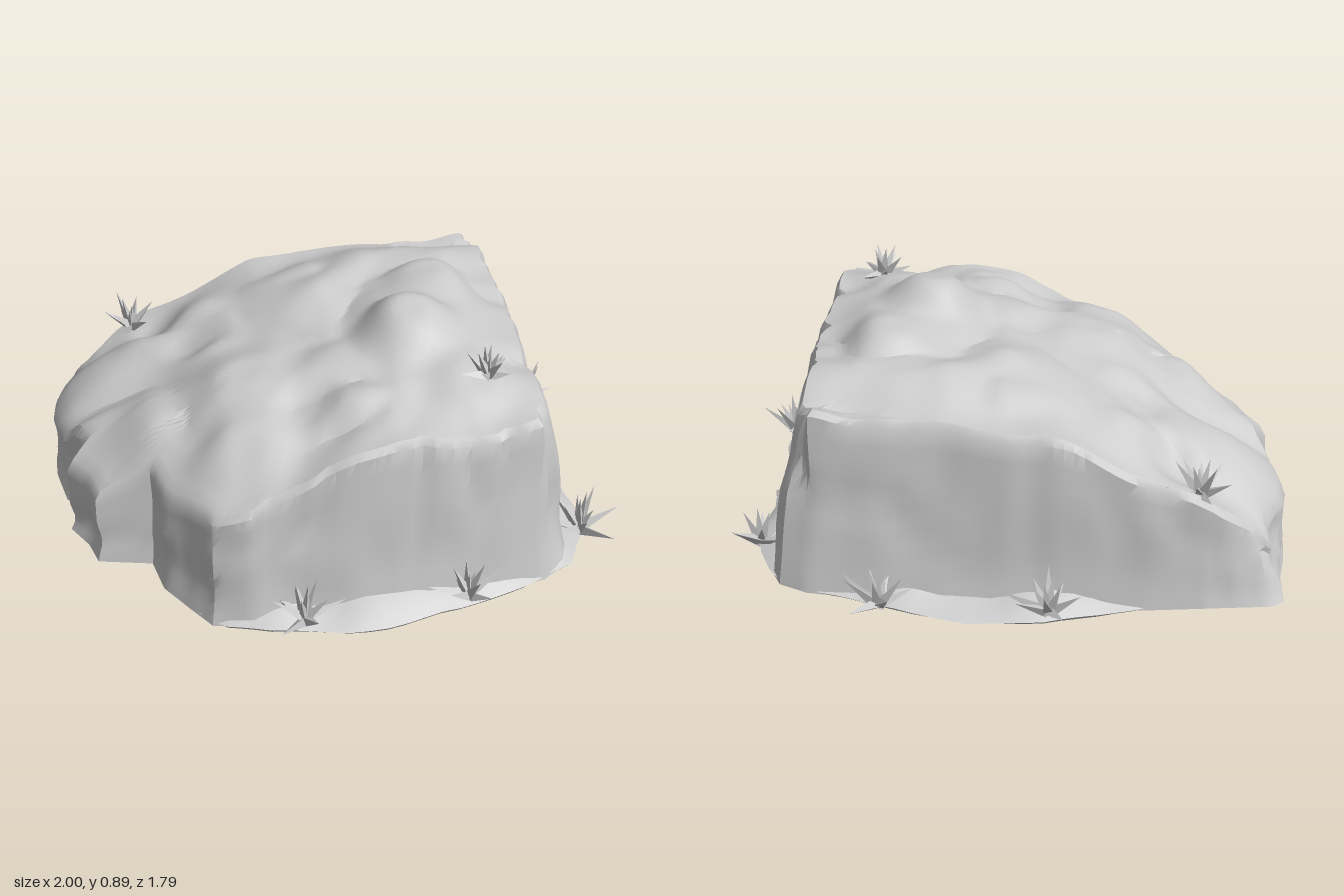
import * as THREE from 'three';
import { toCreasedNormals } from 'three/addons/utils/BufferGeometryUtils.js';

const stone = new THREE.MeshStandardMaterial({ color: 0xcccccc });
stone.name = 'paleStone';

const { lerp, smoothstep, clamp } = THREE.MathUtils;

// Smooth seeded value noise, -1..1
const hash = (i, j) => {
  const s = Math.sin(i * 127.1 + j * 311.7) * 43758.5453;
  return (s - Math.floor(s)) * 2 - 1;
};
function noise(x, z) {
  const i = Math.floor(x), j = Math.floor(z);
  const u = smoothstep(x - i, 0, 1), v = smoothstep(z - j, 0, 1);
  return lerp(lerp(hash(i, j), hash(i + 1, j), u), lerp(hash(i, j + 1), hash(i + 1, j + 1), u), v);
}

// Piecewise linear lookup in [[x, y], ...]
function curve(points, x) {
  for (let k = 1; k < points.length; k++) {
    const [x0, y0] = points[k - 1], [x1, y1] = points[k];
    if (x <= x1) return lerp(y0, y1, clamp((x - x0) / (x1 - x0), 0, 1));
  }
  return points[points.length - 1][1];
}

// Height of the crest, front edge and back edge along x
const crest = [[-1, 0.28], [-0.9, 0.36], [-0.8, 0.42], [-0.6, 0.52], [-0.4, 0.64], [-0.2, 0.7], [0, 0.745], [0.2, 0.78], [0.5, 0.78], [0.66, 0.745], [0.78, 0.71]];
const frontEdge = [[-1, 0.24], [-0.88, 0.28], [-0.65, 0.4], [-0.5, 0.46], [-0.38, 0.51], [-0.2, 0.58], [0, 0.65], [0.15, 0.69], [0.66, 0.7]];
const backEdge = [[-1, 0.16], [-0.9, 0.26], [-0.66, 0.43], [-0.4, 0.56], [-0.2, 0.64], [0, 0.69], [0.2, 0.71], [0.7, 0.71]];
// Boulder swellings and hollows on top: x, z, radius, height
const swellings = [
  [0.28, 0.14, 0.16, 0.1], [0.4, -0.2, 0.17, 0.05], [-0.05, -0.35, 0.22, 0.02], [-0.3, 0.15, 0.16, 0.03],
  [-0.35, 0.5, 0.16, 0.04], [-0.62, 0.12, 0.14, 0.03], [-0.75, -0.35, 0.18, 0.03], [0.45, 0.43, 0.14, 0.04],
  [-0.45, -0.22, 0.11, -0.05], [-0.58, -0.48, 0.1, -0.03], [-0.12, 0.38, 0.1, -0.03], [0.1, 0.5, 0.12, 0.03],
];
function topHeight(x, z) {
  const west = smoothstep(-x, 0.4, 0.95);
  let y = lerp(curve(crest, x), curve(frontEdge, x), smoothstep(z, 0.3 - 0.35 * west, 0.7 - 0.35 * west));
  y = lerp(y, curve(backEdge, x), smoothstep(-z, 0.33, 0.64));
  for (const [sx, sz, r, h] of swellings) {
    const d = Math.hypot(x - sx, z - sz) / r;
    if (d < 1.4) y += h * (1 - smoothstep(d, 0.3, 1.4));
  }
  // rounded lumps with creased valleys between them
  return y + 0.05 * Math.abs(noise(x * 4.5 + 3, z * 4.5 + 7)) - 0.02 + 0.008 * noise(x * 8, z * 8);
}
const soleHeight = (x) => 0.015 + Math.max(0, x - 0.1) * 0.06;

// Splits a closed outline into short steps
function subdivide(outline, step) {
  const out = [];
  outline.forEach(([x, z], k) => {
    const [x1, z1] = outline[(k + 1) % outline.length];
    const n = Math.max(1, Math.round(Math.hypot(x1 - x, z1 - z) / step));
    for (let i = 0; i < n; i++) out.push([lerp(x, x1, i / n), lerp(z, z1, i / n)]);
  });
  return out;
}

// Skins a stack of closed rings running from the underside to the top
function loft(rings, crease) {
  const n = rings[0].length, index = [];
  for (let r = 0; r < rings.length - 1; r++) {
    for (let i = 0; i < n; i++) {
      const a = r * n + i, b = r * n + (i + 1) % n;
      index.push(a, a + n, b, b, a + n, b + n);
    }
  }
  const g = new THREE.BufferGeometry();
  g.setAttribute('position', new THREE.Float32BufferAttribute(rings.flat(2), 3));
  g.setIndex(index);
  return toCreasedNormals(g, crease);
}

function addMesh(parent, name, geometry) {
  const m = new THREE.Mesh(geometry, stone);
  m.name = name;
  parent.add(m);
  return m;
}

// Main rock: flat sole, steep grooved walls, bumpy sloping top
function rockGeometry() {
  const foot = subdivide([
    [-0.97, -0.6], [-0.93, -0.635], [-0.5, -0.68], [0, -0.69], [0.4, -0.69], [0.66, -0.68], [0.76, -0.64], [0.79, -0.58],
    [0.78, -0.3], [0.8, -0.05], [0.77, 0], [0.8, 0.05], [0.78, 0.3], [0.79, 0.54], [0.765, 0.61], [0.68, 0.67], [0.5, 0.7],
    [0.2, 0.72], [0, 0.72], [-0.2, 0.71], [-0.35, 0.73], [-0.49, 0.7], [-0.56, 0.6], [-0.64, 0.48], [-0.67, 0.34],
    [-0.86, 0.3], [-0.89, 0.2], [-0.95, 0.1], [-0.87, 0.05], [-0.96, -0.08], [-1, -0.28], [-0.97, -0.45],
  ], 0.035);
  // walls lean in towards the east rim and the back corner, and are cut by upright clefts
  const wallPoint = ([x, z], i, t) => {
    const cleft = 1 - Math.min(1, Math.abs(noise(i * 0.2, t * 0.8)) * 4);
    const s = 1 + 0.008 - Math.min(1, t * 4) * (0.018 * cleft + 0.012 * (1 + noise(i * 0.3 + 40, t * 3)));
    const east = 0.1 * smoothstep(x, 0.62, 0.77) * Math.pow(t, 1.7);
    const corner = 0.05 * t * smoothstep(-x, 0.7, 0.95) * smoothstep(-z, 0.35, 0.6);
    const lean = lerp(0.005, 0.04, smoothstep(x, -0.3, 0.6)) * t * smoothstep(Math.abs(z), 0.5, 0.65);
    return [Math.max(-1, x * s - east) + corner, z * s - Math.sign(z) * lean + corner * 0.7];
  };
  const rings = [0.002, 0.5].map((s) => foot.map(([x, z]) => [x * s, soleHeight(x * s), z * s]));
  for (let k = 0; k <= 9; k++) {
    const t = k / 9;
    rings.push(foot.map((p, i) => {
      const [x, z] = wallPoint(p, i, t);
      return [x, lerp(soleHeight(x), topHeight(x, z) - 0.025, t), z];
    }));
  }
  for (let k = 0; k <= 24; k++) {
    const s = lerp(0.975, 0.002, k / 24);
    rings.push(foot.map((p, i) => {
      const [x, z] = wallPoint(p, i, 1);
      return [x * s, topHeight(x * s, z * s), z * s];
    }));
  }
  return loft(rings, 0.6);
}

// Low bank of earth around the back, left and front, open inside the rock
function bankGeometry() {
  const edge = subdivide([
    [-0.55, -0.66], [-0.4, -0.71], [-0.15, -0.78], [0.1, -0.8], [0.3, -0.77], [0.45, -0.72], [0.62, -0.69],
    [0.78, -0.62], [0.86, -0.45], [0.88, -0.3], [0.86, -0.15], [0.88, -0.02], [0.83, 0.01], [0.86, 0.12],
    [0.88, 0.3], [0.87, 0.48], [0.78, 0.62], [0.55, 0.73], [0.3, 0.78], [0.1, 0.82], [-0.1, 0.81],
    [-0.3, 0.77], [-0.45, 0.73], [-0.53, 0.64], [-0.5, 0.3], [-0.5, -0.3],
  ], 0.06);
  const profile = [[0.7, 0], [0.99, 0], [1.005, 0.012], [0.97, 0.03], [0.91, 0.055], [0.82, 0.08]];
  return loft(profile.map(([s, h], k) => edge.map(([x, z], i) => {
    const w = h * (1 + 0.45 * noise(i * 0.4, 3));
    const ragged = k > 0 ? s + 0.01 * noise(i * 0.7, 8) : s;
    return [x * ragged, soleHeight(x * s) - 0.004 + w, z * ragged];
  })), 0.8);
}

// Spiky grass tuft: broad three-sided blades fanning outwards
function grassTuft(seed, size) {
  const tuft = new THREE.Group();
  const up = new THREE.Vector3(0, 1, 0);
  const count = 13;
  for (let i = 0; i < count; i++) {
    const len = size * (0.78 + 0.22 * hash(i, seed));
    const blade = new THREE.ConeGeometry(0.024, len, 3).translate(0, len / 2, 0).toNonIndexed();
    blade.computeVertexNormals();
    const a = i * 2.4 + seed, lean = 0.1 + 1.3 * (i / (count - 1));
    const dir = new THREE.Vector3(Math.cos(a) * Math.sin(lean), Math.cos(lean), Math.sin(a) * Math.sin(lean));
    addMesh(tuft, 'grassBlade', blade).quaternion.setFromUnitVectors(up, dir);
  }
  return tuft;
}

export function createModel() {
  const model = new THREE.Group();
  model.name = 'rockOutcrop';
  addMesh(model, 'rock', rockGeometry());
  addMesh(model, 'earthBank', bankGeometry());

  // Tufts around the foot and two on top
  const tufts = [
    [-0.18, 0.05, 0.76, 0.18], [0.4, 0.06, 0.73, 0.18], [-0.17, 0.05, -0.76, 0.18], [0.41, 0.06, -0.76, 0.18],
    [0.87, 0.08, -0.4, 0.17], [0.87, 0.08, 0.45, 0.17], [-0.67, 0.43, -0.6, 0.15], [0.5, 0.77, 0.43, 0.13],
  ];
  tufts.forEach(([x, y, z, size], i) => {
    const t = grassTuft(i + 1, size);
    t.name = 'grassTuft';
    t.position.set(x, y, z);
    model.add(t);
  });
  return model;
}
